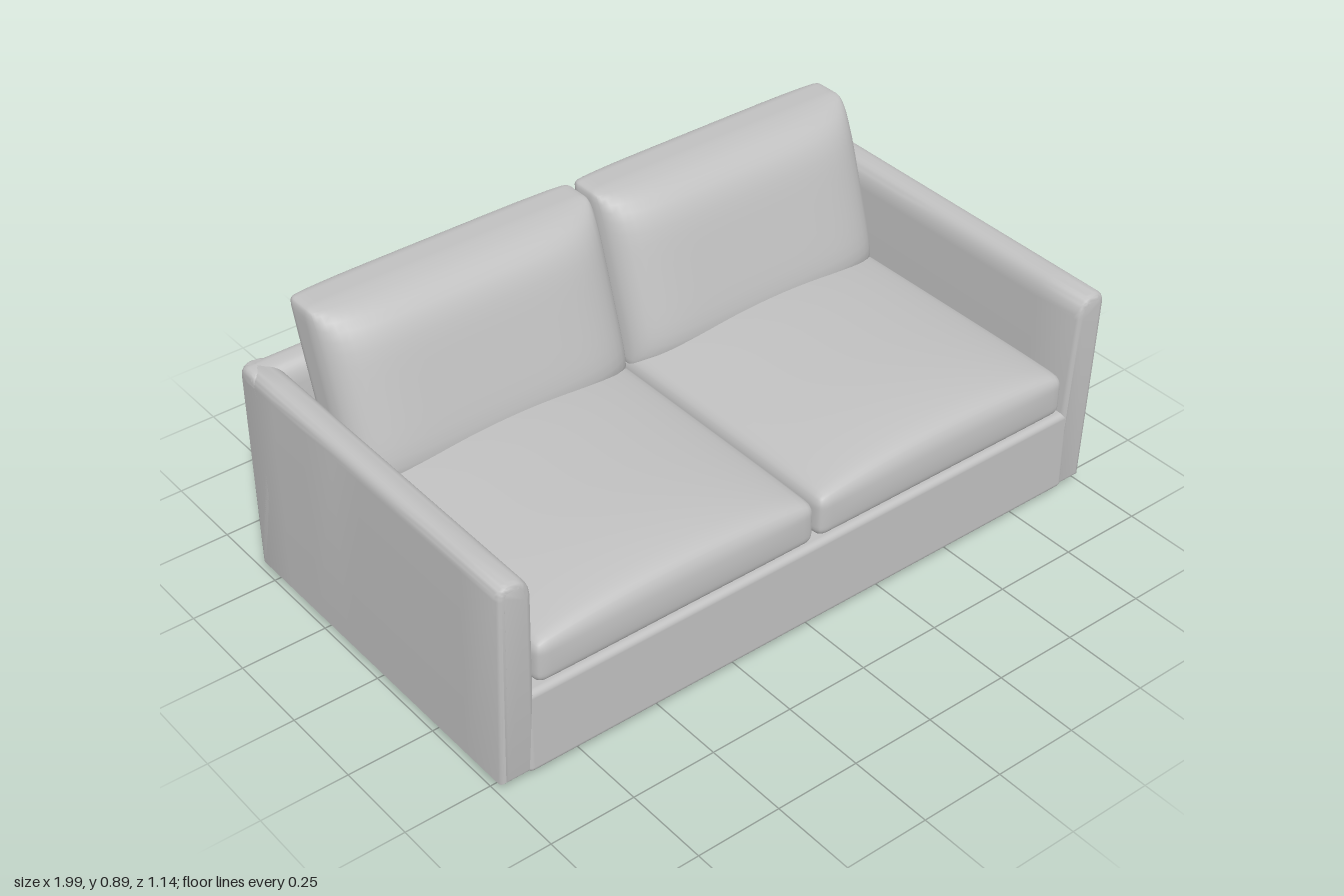
import * as THREE from 'three';
import { mergeVertices, toCreasedNormals } from 'three/addons/utils/BufferGeometryUtils.js';
import { RoundedBoxGeometry } from 'three/addons/geometries/RoundedBoxGeometry.js';

const fabric = new THREE.MeshStandardMaterial({ color: 0xc0c0c0 });
fabric.name = 'grey fabric';

function add(parent, name, geometry, x = 0, y = 0, z = 0) {
  const mesh = new THREE.Mesh(geometry, fabric);
  mesh.name = name;
  mesh.position.set(x, y, z);
  parent.add(mesh);
  return mesh;
}

// Move every vertex by a rule
function warp(geometry, rule) {
  const p = geometry.attributes.position;
  const v = new THREE.Vector3();
  for (let i = 0; i < p.count; i++) {
    rule(v.fromBufferAttribute(p, i));
    p.setXYZ(i, v.x, v.y, v.z);
  }
  return geometry;
}

// Upholstered wall with a rounded top, outer face at +x, running along z
function wallGeometry(outer, length, angle, rule) {
  const s = new THREE.Shape();
  s.moveTo(outer, 0.027);
  s.lineTo(outer, 0.635);
  s.quadraticCurveTo(outer, 0.673, outer - 0.035, 0.674);
  s.lineTo(outer - 0.055, 0.672);
  s.quadraticCurveTo(outer - 0.092, 0.668, outer - 0.097, 0.61);
  s.lineTo(outer - 0.103, 0.027);
  s.closePath();
  const b = 0.018;
  const g = new THREE.ExtrudeGeometry(s, {
    depth: length - 2 * b, curveSegments: 8, steps: 8,
    bevelThickness: b, bevelSize: b, bevelOffset: -b, bevelSegments: 4,
  });
  g.translate(0, 0, -length / 2 + b);
  g.rotateY(angle);
  if (rule) warp(g, rule);
  return toCreasedNormals(g, 0.7);
}

// Soft rounded box; the rule receives the point and its -1..1 coordinates
function cushionGeometry(w, h, d, r, rule) {
  const half = new THREE.Vector3(w / 2, h / 2, d / 2);
  const inner = half.clone().subScalar(r);
  let g = new THREE.BoxGeometry(2, 2, 2, 28, 20, 24);
  g.deleteAttribute('uv');
  g.deleteAttribute('normal');
  const core = new THREE.Vector3();
  warp(g, (v) => {
    // crowd the grid towards the edges, then round them
    for (const k of ['x', 'y', 'z']) v[k] = Math.sin(v[k] * Math.PI / 2) * half[k];
    core.copy(v).clamp(inner.clone().negate(), inner);
    const off = v.clone().sub(core);
    if (off.lengthSq() > 1e-12) {
      const m = Math.max(Math.abs(off.x), Math.abs(off.y), Math.abs(off.z));
      v.copy(core).add(off.setLength(m));
    }
    rule(v, v.clone().divide(half));
  });
  g = mergeVertices(g, 1e-5);
  g.computeVertexNormals();
  return g;
}

const dome = (t, n, e) => Math.pow(Math.max(0, 1 - Math.pow(Math.abs(t), n)), e);

export function createModel() {
  const sofa = new THREE.Group();
  sofa.name = 'sofa';

  // Base under the seat
  add(sofa, 'base', new RoundedBoxGeometry(1.84, 0.258, 1.09, 4, 0.018), 0, 0.156, 0.01);

  // Arms and back wall
  const armRule = (v) => {
    v.y -= 0.012 * (v.z + 0.57) / 1.14 * (v.y / 0.67);
    if (v.z > 0.4 && v.y < 0.2) v.z -= 0.022 * (0.2 - v.y) / 0.17;
  };
  add(sofa, 'leftArm', wallGeometry(0.995, 1.14, 0, armRule));
  add(sofa, 'rightArm', wallGeometry(0.995, 1.14, Math.PI, armRule));
  add(sofa, 'backWall', wallGeometry(0.57, 1.99, Math.PI / 2));

  for (const side of [1, -1]) {
    const label = side > 0 ? 'left' : 'right';

    // Seat cushion with a crowned top
    const seat = cushionGeometry(0.88, 0.125, 0.96, 0.03, (v, u) => {
      const crown = dome(u.x, 2, 0.7) * (0.35 + 0.65 * dome(u.z, 4, 0.6));
      v.y += 0.068 * crown * (u.y + 1) / 2;
      v.z += u.z > 0 ? 0.01 * dome(u.x, 4, 1) * dome(u.y, 2, 1) * u.z : 0;
    });
    add(sofa, label + 'SeatCushion', seat, side * 0.445, 0.355, 0.075);

    // Back cushion, leaning back and bulging forward
    const back = cushionGeometry(0.88, 0.485, 0.1, 0.022, (v, u) => {
      const puff = dome(u.x, 6, 0.6) * dome(u.y, 6, 0.6);
      v.z += puff * (u.z > 0 ? 0.1 : 0.045) * u.z - 0.31 * v.y;
    });
    add(sofa, label + 'BackCushion', back, side * 0.445, 0.643, -0.355);

    // Small feet: tapered pad on a short peg
    for (const end of [1, -1]) {
      const foot = new THREE.Group();
      foot.name = label + (end > 0 ? 'Front' : 'Back') + 'Foot';
      foot.position.set(side * 0.93, 0, end * 0.49);
      const pad = new THREE.CylinderGeometry(0.048, 0.038, 0.02, 4).rotateY(Math.PI / 4);
      add(foot, 'footPad', toCreasedNormals(pad, 0.5), 0, 0.02, 0);
      add(foot, 'footPeg', new THREE.CylinderGeometry(0.016, 0.016, 0.012, 12), 0, 0.006, 0);
      sofa.add(foot);
    }
  }
  return sofa;
}
